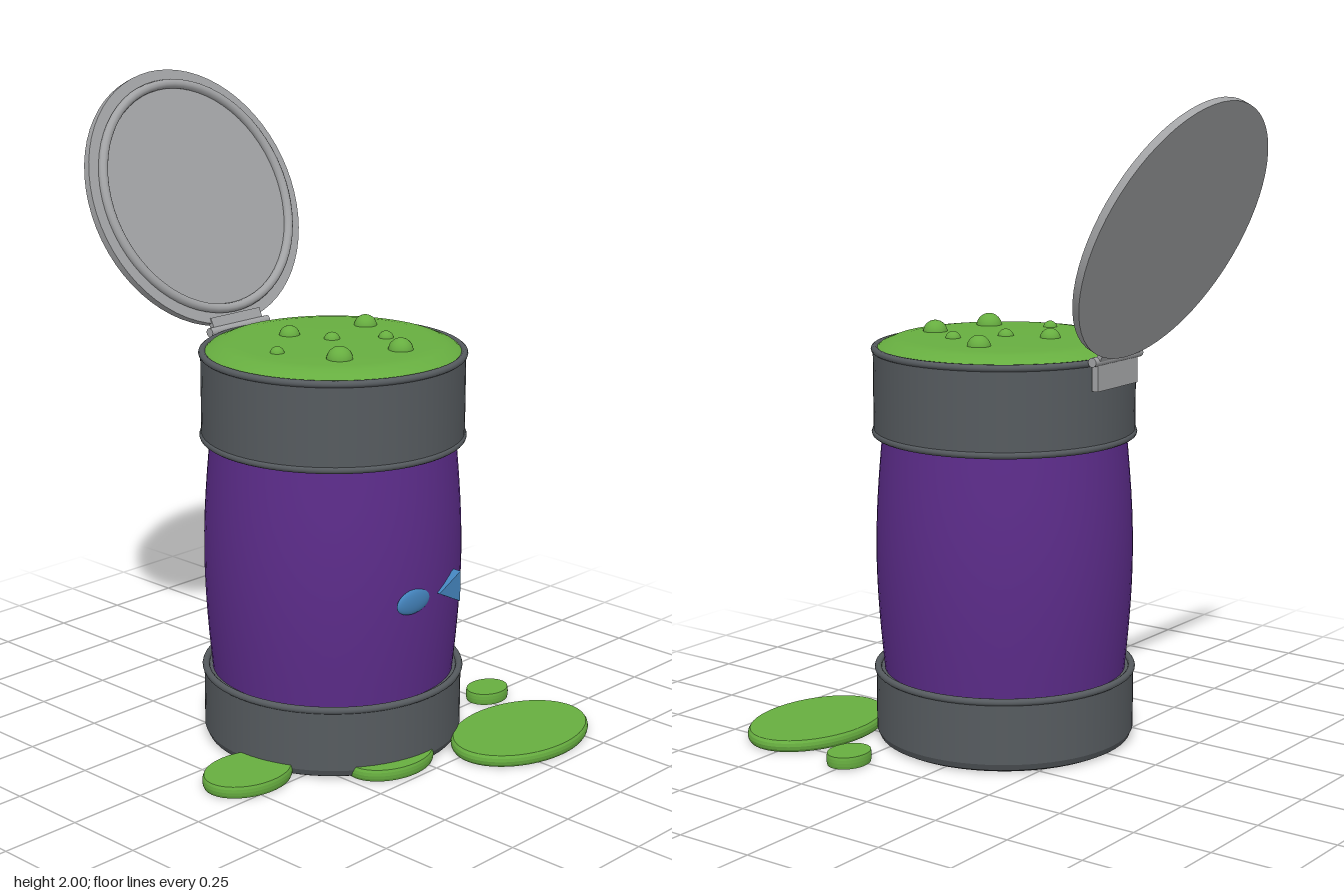
import * as THREE from 'three';

const mat = (name, color) => Object.assign(new THREE.MeshStandardMaterial({ color }), { name });
const v2 = (pts) => pts.map(([x, y]) => new THREE.Vector2(x, y));

export function createModel() {
  const steel = mat('dark steel', 0x565b5f);
  const silver = mat('silver', 0xa2a3a5);
  const purple = mat('purple paint', 0x5c2c8a);
  const green = mat('green slime', 0x67ae40);
  const blue = mat('blue paint', 0x4484bd);

  const model = new THREE.Group();
  model.name = 'slimeCan';
  const add = (parent, name, geo, m, x = 0, y = 0, z = 0) => {
    const mesh = new THREE.Mesh(geo, m);
    mesh.name = name;
    mesh.position.set(x, y, z);
    parent.add(mesh);
    return mesh;
  };
  // Hard-edged lathe: each point is doubled so the straight runs shade flat
  const hardLathe = (pts) => {
    const out = [];
    pts.forEach((p, i) => {
      out.push(p);
      if (i > 0 && i < pts.length - 1) out.push([p[0] + 1e-4, p[1] + 1e-4]);
    });
    return new THREE.LatheGeometry(v2(out), 64);
  };

  const can = new THREE.Group();
  can.name = 'can';
  can.position.set(0.01, 0, 0.055);
  model.add(can);

  // Bulging body
  const bulge = [];
  for (let i = 0; i <= 12; i++) {
    const t = i / 12;
    bulge.push([0.373 + 0.023 * Math.sin(Math.PI * t), 0.21 + 0.76 * t]);
  }
  add(can, 'body', new THREE.LatheGeometry(v2(bulge), 64), purple);

  // Steel bands with rolled beads
  add(can, 'baseBand', hardLathe([[0, 0], [0.375, 0], [0.391, 0.008], [0.4, 0.028], [0.4, 0.22], [0.37, 0.22]]), steel);
  add(can, 'topBand', hardLathe([[0.37, 0.965], [0.4, 0.965], [0.4, 1.22], [0.375, 1.22]]), steel);
  for (const y of [0.22, 0.965, 1.22]) {
    const bead = add(can, 'bead', new THREE.TorusGeometry(0.395, 0.011, 10, 64), steel, 0, y);
    bead.rotation.x = Math.PI / 2;
  }

  // Slime filling and bubbles
  add(can, 'slime', new THREE.LatheGeometry(
    v2([[0.39, 1.222], [0.375, 1.235], [0.34, 1.249], [0.3, 1.255], [0, 1.257]]), 64), green);
  const bubbles = [
    [-0.04, -0.08, 0.032], [0.215, -0.003, 0.036], [-0.223, 0.05, 0.022], [0.01, 0.05, 0.025],
    [0.138, 0.153, 0.024], [-0.146, 0.23, 0.04], [0.06, 0.283, 0.038],
  ];
  for (const [x, z, r] of bubbles) add(model, 'bubble', new THREE.SphereGeometry(r, 20, 14), green, x, 1.252, z);

  // Open lid, tilted back around the hinge
  const lid = new THREE.Group();
  lid.name = 'lid';
  lid.position.set(0.01, 1.235, -0.37);
  lid.rotation.x = -0.432;
  model.add(lid);
  const disc = add(lid, 'lidDisc', new THREE.CylinderGeometry(0.416, 0.416, 0.024, 64), silver, 0, 0.416, 0);
  disc.rotation.x = Math.PI / 2;
  add(lid, 'lidRim', new THREE.TorusGeometry(0.367, 0.015, 10, 64), silver, 0, 0.416, 0.017);

  // Hinge
  add(model, 'hingePlate', new THREE.BoxGeometry(0.21, 0.085, 0.02), silver, 0.01, 1.182, -0.35);
  const pin = add(model, 'hingePin', new THREE.CylinderGeometry(0.014, 0.014, 0.25, 16), silver, 0.01, 1.228, -0.353);
  pin.rotation.z = Math.PI / 2;
  const leaf = add(model, 'hingeLeaf', new THREE.BoxGeometry(0.21, 0.05, 0.016), silver, 0.01, 1.243, -0.365);
  leaf.rotation.x = -0.432;

  // Small painted mark: oval and triangle on the front
  const oval = add(model, 'markOval', new THREE.SphereGeometry(1, 32, 16), blue, -0.053, 0.535, 0.445);
  oval.scale.set(0.072, 0.038, 0.013);
  const tri = new THREE.Shape(v2([[0.05, 0.535], [0.145, 0.487], [0.145, 0.583]]));
  add(model, 'markTriangle', new THREE.ExtrudeGeometry(tri, { depth: 0.028, bevelEnabled: false }), blue, 0, 0, 0.43);

  // Slime puddles on the floor: [x, z, half width, half depth]
  const puddles = [
    [0.345, 0.542, 0.257, 0.178], [0.525, 0.258, 0.076, 0.062],
    [-0.457, 0.152, 0.152, 0.114], [-0.075, 0.375, 0.157, 0.114],
  ];
  for (const [x, z, rx, rz] of puddles) {
    const g = hardLathe([[0, 0.002], [0.965, 0.002], [0.99, 0.01], [0.999, 0.02], [0.99, 0.03], [0.965, 0.038], [0, 0.038]]);
    add(model, 'puddle', g, green, x, 0, z).scale.set(rx, 1, rz);
  }
  return model;
}
